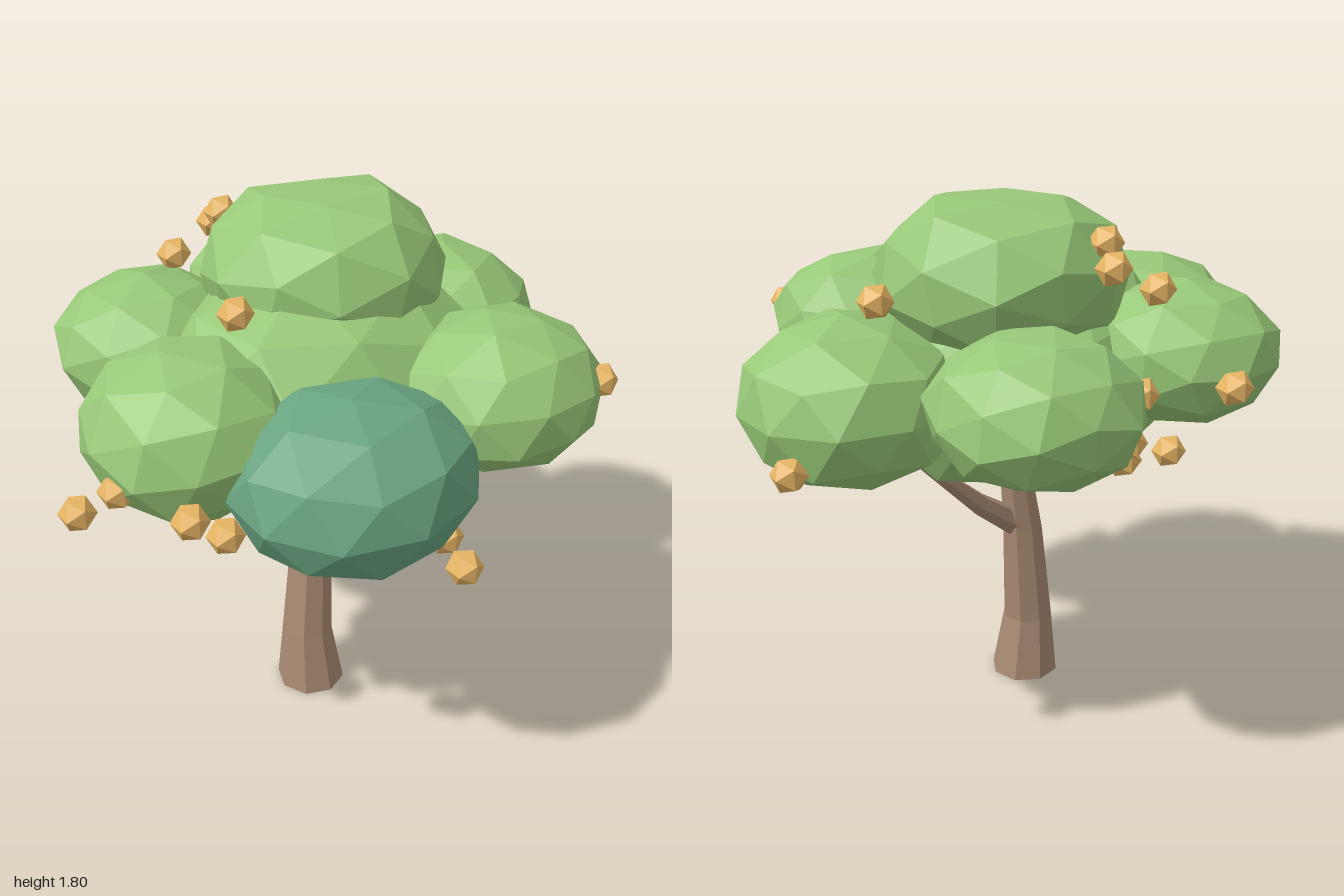
import * as THREE from 'three';

const mat = (color) => new THREE.MeshStandardMaterial({ color, flatShading: true });

// Low-poly leaf clump: rotated icosphere, slightly uneven, stretched to the given radii,
// with its crown flattened at the top of the tree
function clump([x, y, z], [rx, ry, rz], seed) {
  const g = new THREE.IcosahedronGeometry(1, 1);
  g.rotateX(seed * 1.3);
  g.rotateY(seed * 2.1);
  const p = g.attributes.position;
  const v = new THREE.Vector3();
  for (let i = 0; i < p.count; i++) {
    v.fromBufferAttribute(p, i);
    const k = 1.01 + 0.035 * Math.sin(v.x * 5 + seed) * Math.cos(v.z * 4 + v.y * 3 + seed);
    p.setXYZ(i, v.x * k * rx + x, Math.min(v.y * k * ry + y, 1.8), v.z * k * rz + z);
  }
  g.computeVertexNormals();
  return g;
}

// Tapered limb: rings of [x, y, z, radius], closed at both ends.
// Level rings lie flat; otherwise they face along the limb.
function limb(rings, sides, level) {
  const pos = [];
  const idx = [];
  const centres = rings.map((r) => new THREE.Vector3(r[0], r[1], r[2]));
  const up = new THREE.Vector3(0, 1, 0);
  const dir = level ? up : centres.at(-1).clone().sub(centres[0]).normalize();
  const q = new THREE.Quaternion().setFromUnitVectors(up, dir);
  rings.forEach((r, j) => {
    for (let i = 0; i < sides; i++) {
      const a = (i / sides) * Math.PI * 2;
      const v = new THREE.Vector3(Math.sin(a) * r[3], 0, Math.cos(a) * r[3]);
      v.applyQuaternion(q).add(centres[j]);
      pos.push(v.x, v.y, v.z);
      if (j === 0) continue;
      const n = (i + 1) % sides;
      const lo = (j - 1) * sides;
      const hi = j * sides;
      idx.push(lo + i, lo + n, hi + n, lo + i, hi + n, hi + i);
    }
  });
  const top = (rings.length - 1) * sides;
  for (let i = 1; i < sides - 1; i++) {
    idx.push(0, i + 1, i, top, top + i, top + i + 1);
  }
  const g = new THREE.BufferGeometry();
  g.setAttribute('position', new THREE.Float32BufferAttribute(pos, 3));
  g.setIndex(idx);
  g.computeVertexNormals();
  return g;
}

export function createModel() {
  const tree = new THREE.Group();
  tree.name = 'tree';
  const add = (name, geometry, material) => {
    const m = new THREE.Mesh(geometry, material);
    m.name = name;
    tree.add(m);
    return m;
  };

  const bark = mat(0xab8c74);
  const leaf = mat(0x98c878);
  const darkLeaf = mat(0x6aa582);
  const gold = mat(0xeab866);

  // Leaning trunk with a flared foot
  add('trunk', limb([
    [-0.045, 0, 0.07, 0.122],
    [-0.053, 0.23, 0.06, 0.09],
    [-0.02, 0.6, 0.04, 0.072],
    [0.02, 0.85, 0.02, 0.056],
    [0.05, 1.1, 0, 0.045],
  ], 8, true), bark);

  // Branches
  add('mainBranch', limb([
    [-0.02, 0.595, 0.045, 0.052],
    [0.17, 0.735, 0, 0.038],
    [0.41, 0.96, -0.08, 0.02],
  ], 6), bark);
  add('backBranch', limb([
    [0.02, 0.79, 0.01, 0.034],
    [0.17, 1.0, -0.15, 0.02],
  ], 6), bark);
  add('twigStub', limb([
    [-0.01, 0.55, 0.05, 0.03],
    [-0.075, 0.605, 0.075, 0.012],
  ], 5), bark);

  // Canopy: name, centre, radii
  const clumps = [
    ['coreFoliage', [0.03, 1.22, 0.01], [0.57, 0.405, 0.49]],
    ['topFoliage', [0.12, 1.555, -0.085], [0.41, 0.29, 0.4]],
    ['frontLeftFoliage', [0.345, 1.295, 0.525], [0.335, 0.245, 0.32]],
    ['darkFoliage', [-0.23, 1.185, 0.52], [0.39, 0.27, 0.36]],
    ['rightFoliage', [-0.53, 1.26, 0.1], [0.34, 0.265, 0.34]],
    ['backRightFoliage', [-0.37, 1.315, -0.38], [0.32, 0.23, 0.32]],
    ['backFoliage', [0.27, 1.28, -0.58], [0.32, 0.23, 0.32]],
    ['leftFoliage', [0.65, 1.225, -0.1], [0.345, 0.27, 0.36]],
  ];
  clumps.forEach(([name, centre, radii], i) => {
    add(name, clump(centre, radii, i + 1), name === 'darkFoliage' ? darkLeaf : leaf);
  });

  // Golden fruit scattered over the canopy
  const fruits = [
    [0.57, 1.335, 0.735], [-0.06, 0.96, 0.835], [-0.05, 1.01, 0.735],
    [0.575, 1.535, -0.15], [0.92, 1.105, -0.3], [-0.335, 1.57, 0.08],
    [-0.942, 1.14, 0.145], [-0.83, 1.19, 0.18], [-0.73, 1.17, 0.415],
    [-0.65, 1.12, 0.47], [-0.31, 1.3, -0.74], [-0.08, 1.27, -0.59],
    [-0.21, 1.55, -0.47], [-0.05, 1.63, -0.47], [-0.07, 1.69, -0.39],
    [-0.37, 0.95, -0.34], [-0.085, 1.03, -0.5], [-0.05, 1.12, -0.58],
  ];
  const fruitShape = new THREE.IcosahedronGeometry(0.058, 0);
  fruits.forEach((p) => add('fruit', fruitShape, gold).position.set(...p));

  return tree;
}
